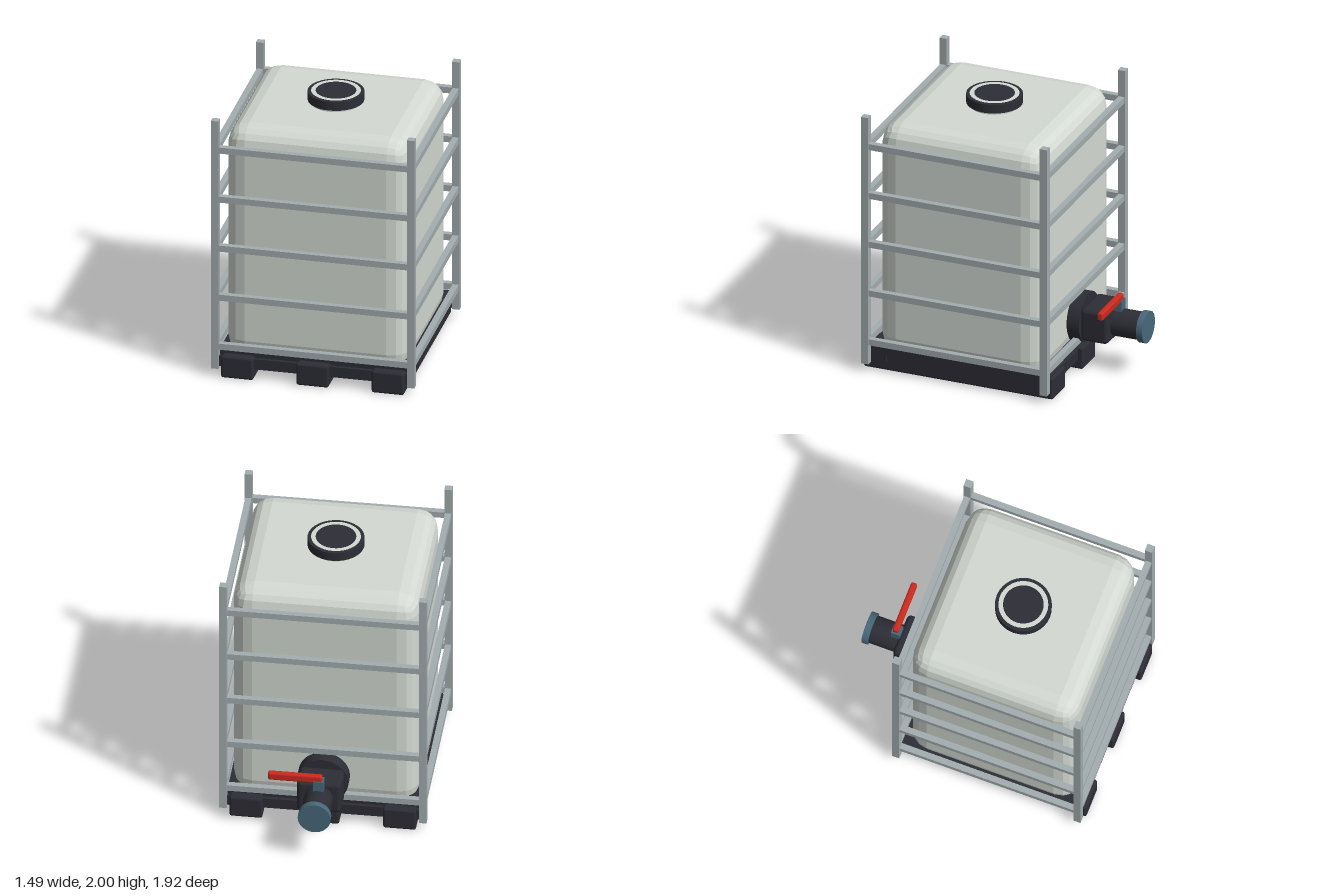
import * as THREE from 'three';
import { RoundedBoxGeometry } from 'three/addons/geometries/RoundedBoxGeometry.js';

const CZ = 0.228; // centre of tank and cage along z

function makeMaterial(name, color) {
  const m = new THREE.MeshStandardMaterial({ color });
  m.name = name;
  return m;
}

export function createModel() {
  const plastic = makeMaterial('tank plastic', 0xd4dad3);
  const steel = makeMaterial('galvanised steel', 0xa3adaf);
  const dark = makeMaterial('dark plastic', 0x2d2d36);
  const blue = makeMaterial('blue fitting', 0x48697a);
  const red = makeMaterial('red handle', 0xcc2a1e);

  const model = new THREE.Group();
  model.name = 'caged liquid tank';

  const group = (name) => {
    const g = new THREE.Group();
    g.name = name;
    model.add(g);
    return g;
  };
  const add = (parent, name, geometry, material, x, y, z) => {
    const mesh = new THREE.Mesh(geometry, material);
    mesh.name = name;
    mesh.position.set(x, y, z);
    parent.add(mesh);
    return mesh;
  };
  const box = (w, h, d) => new THREE.BoxGeometry(w, h, d);
  const rounded = (w, h, d, r) => new RoundedBoxGeometry(w, h, d, 2, r);
  const disc = (r, h) => new THREE.CylinderGeometry(r, r, h, 32);

  // Tank with faceted round corners
  const tank = group('tank');
  const shell = rounded(1.34, 1.8, 1.27, 0.15);
  shell.computeVertexNormals();
  add(tank, 'tankShell', shell, plastic, 0, 1.01, CZ);

  // Filler neck and screw lid with a pale ring
  add(tank, 'fillerNeck', disc(0.18, 0.04), plastic, 0, 1.915, CZ);
  add(tank, 'lid', disc(0.203, 0.067), dark, 0, 1.9635, CZ);
  const ring = new THREE.RingGeometry(0.145, 0.178, 40);
  ring.rotateX(-Math.PI / 2);
  add(tank, 'lidRing', ring, plastic, 0, 2.0, CZ);

  // Pallet: deck, three runners, two cross beams
  const pallet = group('pallet');
  add(pallet, 'deck', box(1.38, 0.085, 1.34), dark, 0, 0.1625, CZ);
  for (const x of [-0.552, 0, 0.552]) {
    add(pallet, 'runner', rounded(0.238, 0.17, 1.466, 0.018), dark, x, 0.085, CZ);
  }
  for (const s of [-1, 1]) {
    add(pallet, 'crossBeam', box(1.38, 0.08, 0.15), dark, 0, 0.115, CZ + s * 0.622);
  }

  // Cage: corner posts and five levels of rails
  const cage = group('cage');
  const px = 0.718;
  const pz = 0.691;
  for (const s of [-1, 1]) {
    for (const t of [-1, 1]) {
      add(cage, 'cornerPost', box(0.055, 1.94, 0.055), steel, s * px, 1.03, CZ + t * pz);
    }
    for (let i = 0; i < 5; i++) {
      const y = 0.233 + i * 0.3845;
      add(cage, 'crossRail', box(1.39, 0.047, 0.045), steel, 0, y, CZ + s * pz);
      add(cage, 'sideRail', box(0.045, 0.047, 1.335), steel, s * px, y, CZ);
    }
  }

  // Outlet valve at the back
  const valve = group('outletValve');
  const vy = 0.37;
  const pipe = (name, r, z0, z1, material) => {
    const g = disc(r, z0 - z1);
    g.rotateX(Math.PI / 2);
    add(valve, name, g, material, 0, vy, (z0 + z1) / 2);
  };
  pipe('flange', 0.185, -0.4, -0.502, dark);
  add(valve, 'valveBody', rounded(0.318, 0.25, 0.21, 0.03), dark, 0, vy, -0.605);
  pipe('outletPipe', 0.103, -0.7, -0.92, dark);
  pipe('outletCap', 0.118, -0.915, -0.963, blue);
  add(valve, 'valveStem', box(0.075, 0.1, 0.068), blue, -0.004, 0.5, -0.733);
  add(valve, 'valveHandle', rounded(0.39, 0.062, 0.045, 0.014), red, 0.165, 0.562, -0.738);

  return model;
}
